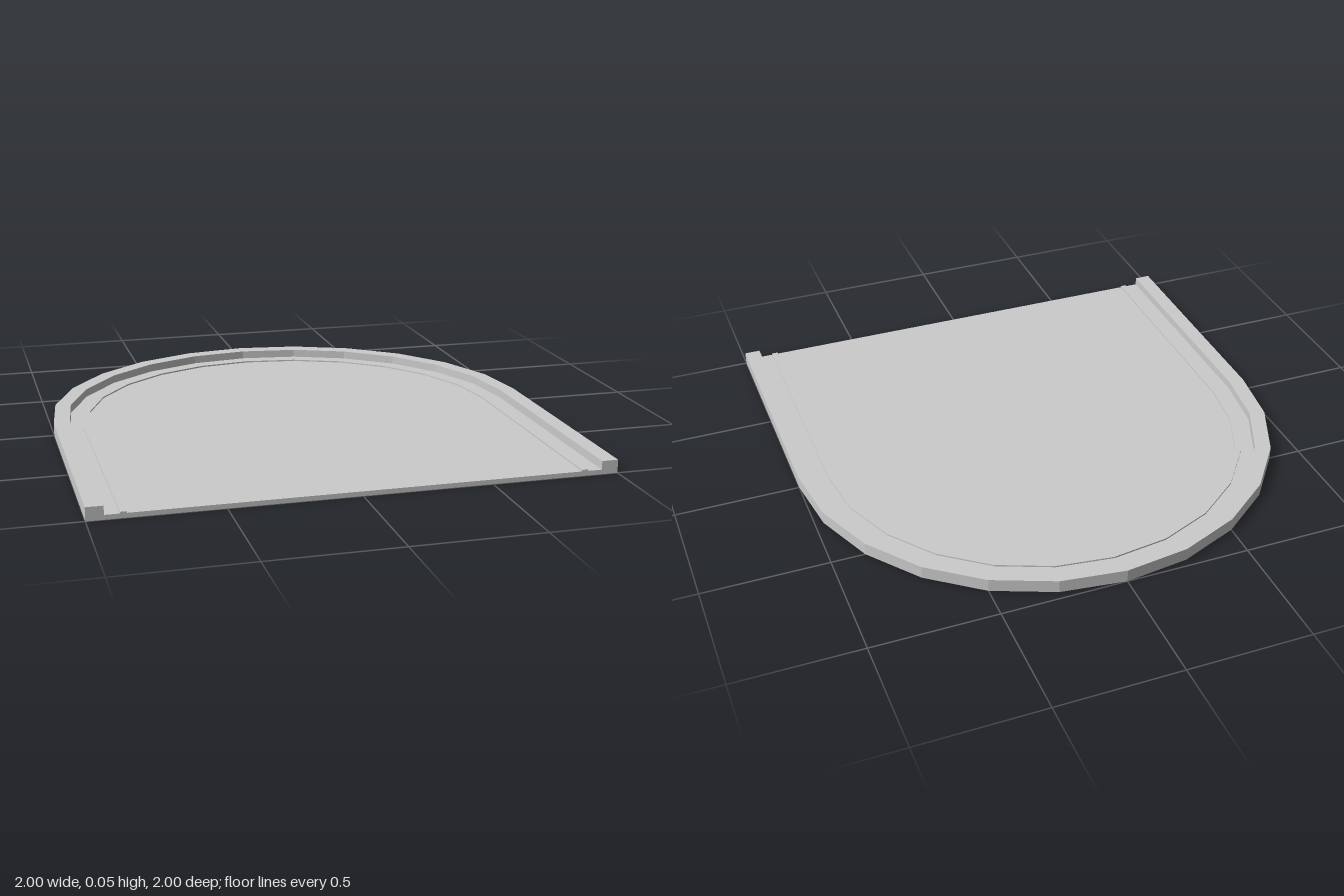
import * as THREE from 'three';

const SEGMENTS = 12; // facets around the half-round back

// Arch outline from the front right corner, around the back, to the front left corner
function archPoints(r) {
  const pts = [new THREE.Vector2(r, -1)];
  for (let i = 0; i <= SEGMENTS; i++) {
    const a = (i / SEGMENTS) * Math.PI;
    pts.push(new THREE.Vector2(r * Math.cos(a), r * Math.sin(a)));
  }
  pts.push(new THREE.Vector2(-r, -1));
  return pts;
}

export function createModel() {
  const group = new THREE.Group();
  const material = new THREE.MeshStandardMaterial({ color: 0xcccccc, flatShading: true });

  // Slab lying flat between two heights
  function addSlab(name, points, bottom, top) {
    const geometry = new THREE.ExtrudeGeometry(new THREE.Shape(points), {
      depth: top - bottom,
      bevelEnabled: false,
    });
    geometry.rotateX(-Math.PI / 2);
    geometry.translate(0, bottom, 0);
    const mesh = new THREE.Mesh(geometry, material);
    mesh.name = name;
    group.add(mesh);
  }

  // U-shaped band, open at the front
  const band = (outer, inner) => [...archPoints(outer), ...archPoints(inner).reverse()];

  addSlab('floor', archPoints(0.935), 0, 0.018);
  addSlab('rim', band(1, 0.935), 0, 0.052);
  addSlab('innerRidge', band(0.88, 0.855), 0.018, 0.024);

  return group;
}
